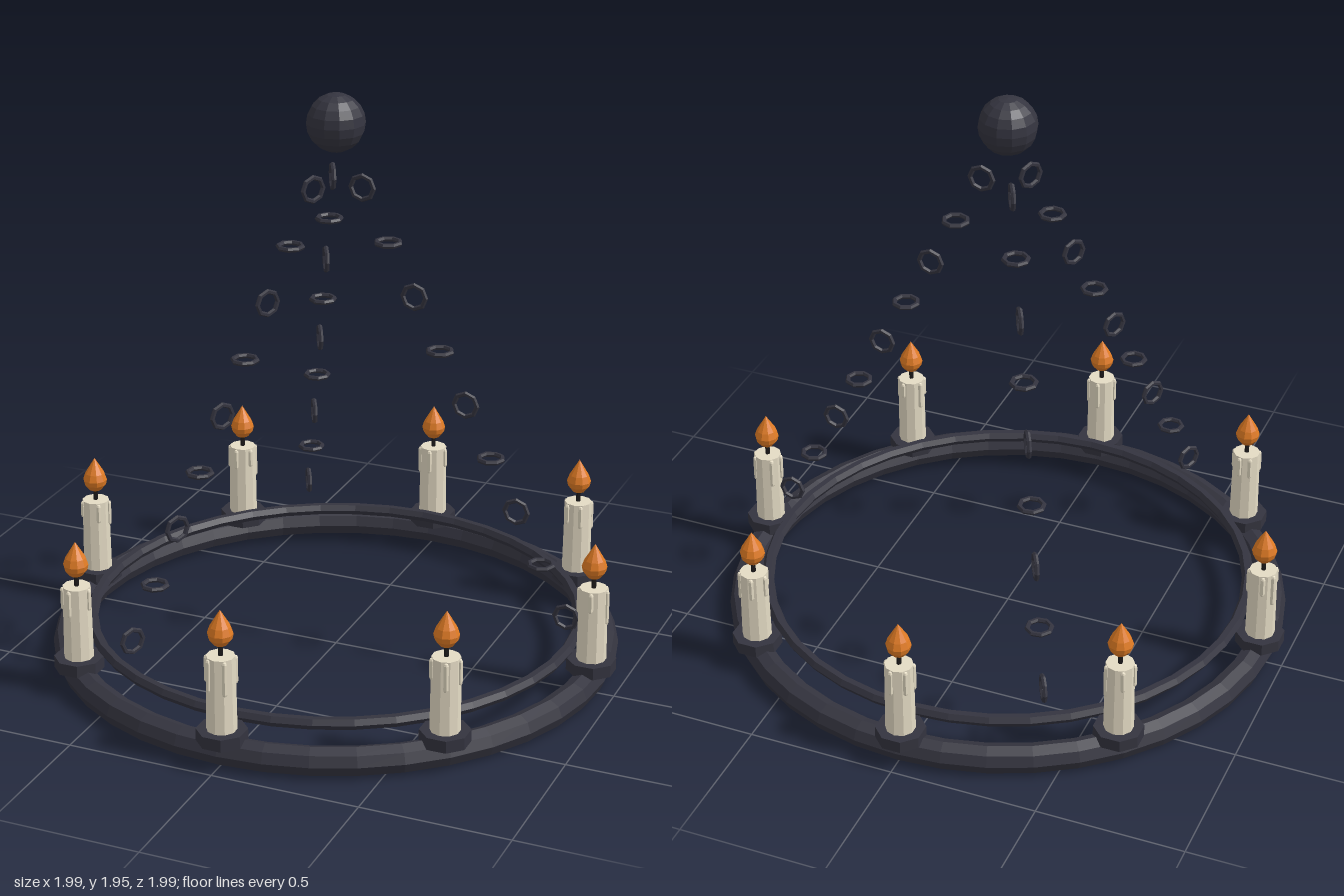
import * as THREE from 'three';

const mat = (name, color, flat = true) => {
  const m = new THREE.MeshStandardMaterial({ color, flatShading: flat });
  m.name = name;
  return m;
};

export function createModel() {
  const iron = mat('dark iron', 0x34343f);
  const wax = mat('cream wax', 0xe4dbc4);
  const flameMat = mat('orange flame', 0xde7a24);
  const wickMat = mat('black wick', 0x1c1a1a);

  const model = new THREE.Group();
  model.name = 'chandelier';
  const add = (parent, name, geo, material, x = 0, y = 0, z = 0) => {
    const mesh = new THREE.Mesh(geo, material);
    mesh.name = name;
    mesh.position.set(x, y, z);
    parent.add(mesh);
    return mesh;
  };

  const R = 0.917; // radius of the candle circle

  // two hoops, the thin one raised inside the thick one
  const hoop = (r, tube, sides, segs) => new THREE.TorusGeometry(r, tube, sides, segs).rotateX(Math.PI / 2);
  add(model, 'mainHoop', hoop(R, 0.049, 8, 40), iron, 0, 0.051, 0);
  add(model, 'innerHoop', hoop(0.832, 0.021, 6, 40), iron, 0, 0.138, 0);

  // ceiling ball
  add(model, 'ceilingBall', new THREE.SphereGeometry(0.097, 12, 10), iron, 0, 1.858, 0);

  // shared candle parts
  const panGeo = new THREE.CylinderGeometry(0.083, 0.083, 0.042, 8);
  const candleGeo = new THREE.CylinderGeometry(0.047, 0.05, 0.26, 10);
  const wickGeo = new THREE.CylinderGeometry(0.008, 0.008, 0.06, 6);
  const flameGeo = new THREE.LatheGeometry([
    [0, 0], [0.022, 0.01], [0.038, 0.03], [0.042, 0.048],
    [0.034, 0.072], [0.017, 0.1], [0, 0.128],
  ].map(([x, y]) => new THREE.Vector2(x, y)), 10);

  let seed = 7;
  const rand = () => (seed = (seed * 16807) % 2147483647) / 2147483647;

  // eight candles
  for (let i = 0; i < 8; i++) {
    const a = i * Math.PI / 4;
    const holder = new THREE.Group();
    holder.name = 'candle' + (i + 1);
    holder.position.set(R * Math.cos(a), 0, R * Math.sin(a));
    add(holder, 'dripPan', panGeo, iron, 0, 0.107, 0).rotation.y = Math.PI / 8;
    add(holder, 'candleBody', candleGeo, wax, 0, 0.254, 0);
    add(holder, 'wick', wickGeo, wickMat, 0, 0.405, 0);
    add(holder, 'flame', flameGeo, flameMat, 0, 0.413, 0);
    // wax runs hanging from the rim
    for (let k = 0; k < 5; k++) {
      const b = (k + 0.5 * rand()) * Math.PI * 2 / 5 + a;
      const len = 0.04 + 0.07 * rand();
      const run = new THREE.CapsuleGeometry(0.009, len, 2, 6);
      add(holder, 'waxRun', run, wax, 0.046 * Math.cos(b), 0.373 - len / 2, 0.046 * Math.sin(b));
    }
    model.add(holder);
  }

  // three chains of alternating upright and flat links
  const linkGeo = new THREE.TorusGeometry(0.04, 0.0085, 6, 8);
  for (let c = 0; c < 3; c++) {
    const chain = new THREE.Group();
    chain.name = 'chain' + (c + 1);
    chain.rotation.y = c * Math.PI * 2 / 3;
    for (let i = 1; i <= 9; i++) {
      const link = add(chain, 'link', linkGeo, iron, 0.0917 * i, 1.825 - 0.174 * i, 0);
      if (i % 2 === 0) link.rotation.x = Math.PI / 2;
    }
    model.add(chain);
  }

  return model;
}
